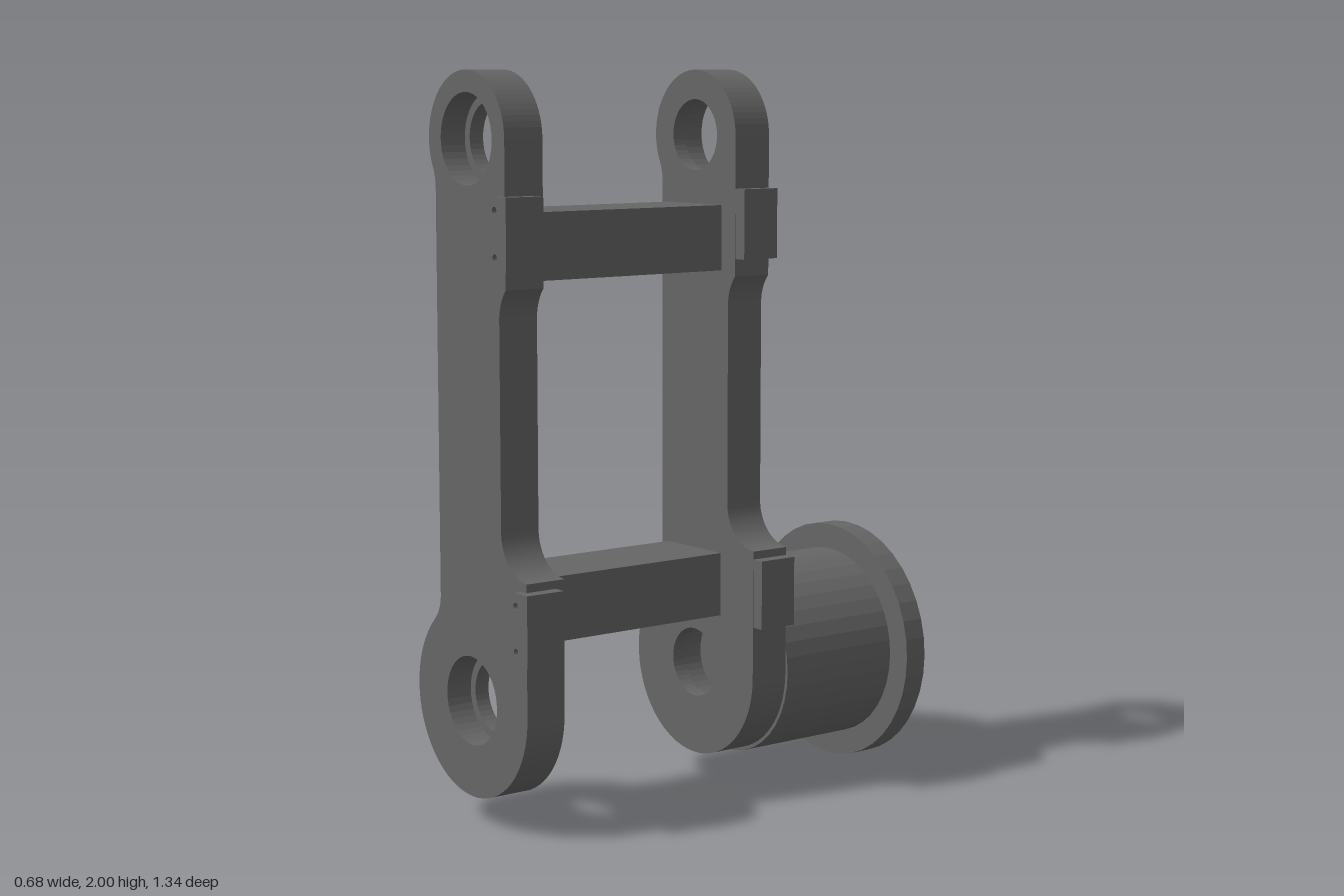
import * as THREE from 'three';

const LOW_Y = 0.342, HIGH_Y = 1.823;   // pivot heights
const HOLE = 0.097, BORE = 0.12;       // through hole and outer counterbore radii

// Outline of a link arm with a large lower eye and a small upper eye
function armShape(holeRadius) {
  const R = 0.261, r = 0.177, w = 0.147, PI = Math.PI;
  const s = new THREE.Shape();
  s.moveTo(R, LOW_Y);
  s.lineTo(R, 0.698);
  s.absarc(w + 0.118, 0.816, 0.118, -PI / 2, -PI, true);
  const a = Math.acos((w + 0.12 - r) / 0.12);
  s.absarc(w + 0.12, 1.364, 0.12, PI, PI - a, true);
  s.lineTo(r, HIGH_Y);
  // Upper eye, filleted into the straight left edge
  const f1 = 0.12, dy1 = Math.sqrt((r + f1) ** 2 - (w + f1) ** 2);
  const t1 = Math.atan2(dy1, w + f1);
  s.absarc(0, HIGH_Y, r, 0, PI + t1, false);
  s.absarc(-w - f1, HIGH_Y - dy1, f1, t1, 0, true);
  // Left edge, filleted into the lower eye
  const f2 = 0.1, dy2 = Math.sqrt((R + f2) ** 2 - (w + f2) ** 2);
  const t2 = Math.atan2(dy2, w + f2);
  s.absarc(-w - f2, LOW_Y + dy2, f2, 0, -t2, true);
  s.absarc(0, LOW_Y, R, PI - t2, 2 * PI, false);
  for (const y of [LOW_Y, HIGH_Y]) {
    s.holes.push(new THREE.Path().absarc(0, y, holeRadius, 0, 2 * PI, true));
  }
  return s;
}

// Pad rounded on its inner side, optionally with two screw holes
function padShape(w, h, drilled) {
  const s = new THREE.Shape(), c = 0.03;
  s.moveTo(c, 0);
  s.lineTo(w, 0);
  s.lineTo(w, h);
  s.lineTo(c, h);
  s.absarc(c, h - c, c, Math.PI / 2, Math.PI, false);
  s.lineTo(0, c);
  s.absarc(c, c, c, Math.PI, Math.PI * 1.5, false);
  if (drilled) {
    for (const y of [0.035, h - 0.035]) {
      s.holes.push(new THREE.Path().absarc(0.032, y, 0.01, 0, Math.PI * 2, true));
    }
  }
  return s;
}

export function createModel() {
  const model = new THREE.Group();
  model.name = 'linkFrame';
  const material = new THREE.MeshStandardMaterial({ color: 0x666666, flatShading: true });

  const add = (name, geometry, x, y, z) => {
    const mesh = new THREE.Mesh(geometry, material);
    mesh.name = name;
    mesh.position.set(x, y, z);
    model.add(mesh);
    return mesh;
  };
  const extrude = (shape, depth) =>
    new THREE.ExtrudeGeometry(shape, { depth, bevelEnabled: false, curveSegments: 20 });

  // Two arms, each an inner layer and a counterbored outer layer
  const inner = 0.042, outer = 0.075;
  add('frontArmInner', extrude(armShape(HOLE), inner), 0, 0, 0.53);
  add('frontArmOuter', extrude(armShape(BORE), outer), 0, 0, 0.53 + inner);
  add('backArmInner', extrude(armShape(HOLE), inner), 0, 0, -0.102 - inner);
  add('backArmOuter', extrude(armShape(BORE), outer), 0, 0, -0.102 - inner - outer);

  // Crossbars joining the arms
  add('upperCrossbar', new THREE.BoxGeometry(0.236, 0.178, 0.636), 0, 1.546, 0.214);
  add('lowerCrossbar', new THREE.BoxGeometry(0.236, 0.176, 0.636), 0, 0.584, 0.214);

  // Side pads: proud of the front arm, flush with the back arm
  for (const [label, x, y] of [['upper', 0.131, 1.491], ['lower', 0.213, 0.485]]) {
    add(label + 'FrontPad', extrude(padShape(0.084, 0.19, true), 0.115), x, y, 0.555);
    add(label + 'BackPad', extrude(padShape(0.084, 0.19, false), 0.115), x, y, -0.218);
  }

  // Roller with end flange behind the back arm
  const disc = (name, radius, z0, z1) => {
    const mesh = add(name, new THREE.CylinderGeometry(radius, radius, z1 - z0, 40), 0, LOW_Y, (z0 + z1) / 2);
    mesh.rotation.x = Math.PI / 2;
  };
  disc('rollerBarrel', 0.271, -0.61, -0.219);
  disc('rollerFlange', 0.342, -0.67, -0.602);

  return model;
}
